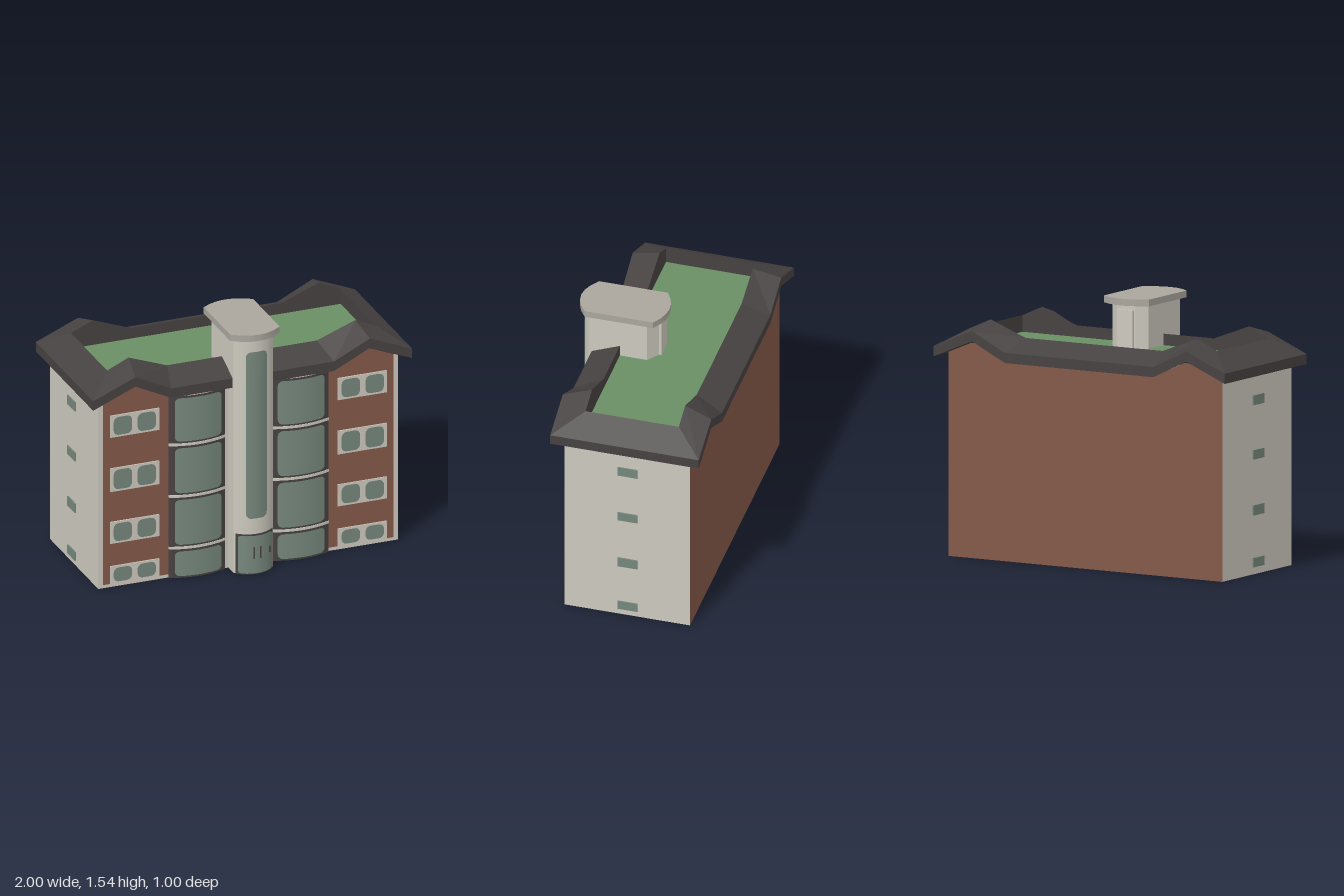
import * as THREE from 'three';
import { toCreasedNormals } from 'three/addons/utils/BufferGeometryUtils.js';

export function createModel() {
  const group = new THREE.Group();
  const mat = (name, color) => new THREE.MeshStandardMaterial({ name, color, side: THREE.DoubleSide });
  const brick = mat('brick', 0x84594a);
  const cream = mat('cream render', 0xcdc9be);
  const glass = mat('green glass', 0x76877c);
  const dark = mat('dark slate', 0x464241);
  const green = mat('roof lawn', 0x6b8f64);
  const grey = mat('grey cap', 0xaaa69e);

  const add = (name, geo, material, x = 0, y = 0, z = 0) => {
    const mesh = new THREE.Mesh(geo, material);
    mesh.name = name;
    mesh.position.set(x, y, z);
    group.add(mesh);
    return mesh;
  };
  const box = (name, material, x0, x1, y0, y1, z0, z1) =>
    add(name, new THREE.BoxGeometry(x1 - x0, y1 - y0, z1 - z0), material, (x0 + x1) / 2, (y0 + y1) / 2, (z0 + z1) / 2);

  // Upright plate that follows a curve z = f(x), with rounded corners of radius r
  function panel(name, material, x0, x1, y0, y1, f, r = 0, n = 20) {
    const geo = new THREE.PlaneGeometry(1, 1, n, 1);
    const p = geo.attributes.position;
    for (let i = 0; i < p.count; i++) {
      const t = (1 - Math.cos((p.getX(i) + 0.5) * Math.PI)) / 2;
      const x = x0 + (x1 - x0) * t;
      const d = Math.min(x - x0, x1 - x);
      const inset = d < r ? r - Math.sqrt(Math.max(0, r * r - (r - d) ** 2)) : 0;
      p.setXYZ(i, x, p.getY(i) > 0 ? y1 - inset : y0 + inset, f(x));
    }
    geo.computeVertexNormals();
    return add(name, geo, material);
  }

  // Extrude an [x, z] outline upwards
  function prism(name, material, pts, y0, y1) {
    const shape = new THREE.Shape(pts.map(([x, z]) => new THREE.Vector2(x, -z)));
    const geo = new THREE.ExtrudeGeometry(shape, { depth: y1 - y0, bevelEnabled: false });
    geo.rotateX(-Math.PI / 2);
    return add(name, toCreasedNormals(geo, 0.5), material, 0, y0, 0);
  }
  const curve = (x0, x1, f, n = 14) =>
    Array.from({ length: n + 1 }, (_, i) => {
      const x = x0 + ((x1 - x0) * i) / n;
      return [x, f(x)];
    });

  // Flat wall from an [x, y] outline
  const wall = (name, material, pts, z) =>
    add(name, new THREE.ShapeGeometry(new THREE.Shape(pts.map((p) => new THREE.Vector2(...p)))), material, 0, 0, z);

  // Back and end walls; the base stays open
  wall('backWall', brick, [[-0.94, 0], [0.94, 0], [0.94, 1.21], [0.735, 1.295], [0.51, 1.19],
    [-0.51, 1.19], [-0.735, 1.295], [-0.94, 1.21]], -0.43);
  const floors = [[0.045, 0.1], [0.35, 0.41], [0.68, 0.735], [1.0, 1.058]];
  const windowRows = [[0.02, 0.134], [0.278, 0.417], [0.61, 0.76], [0.957, 1.097]];
  const bayRows = [[0, 0.2], [0.2, 0.53], [0.53, 0.86], [0.86, 1.18]];

  for (const s of [-1, 1]) {
    const range = (a, b) => (s > 0 ? [a, b] : [-b, -a]);
    const endWall = add('endWall', new THREE.PlaneGeometry(0.76, 1.21), cream, s * 0.94, 0.605, -0.05);
    endWall.rotation.y = (s * Math.PI) / 2;
    for (const [y0, y1] of floors) box('sideWindow', glass, ...range(0.949, 0.957), y0, y1, -0.115, 0.005);

    // Brick wing with cream corner strip and plinth
    const m = (pts) => pts.map(([x, y]) => [s * x, y]);
    wall('wingFront', brick, m([[0.5, 0.02], [0.91, 0.02], [0.91, 1.22], [0.735, 1.295], [0.5, 1.19]]), 0.33);
    wall('cornerStrip', cream, m([[0.91, 0], [0.94, 0], [0.94, 1.21], [0.91, 1.22]]), 0.33);
    wall('plinth', cream, m([[0.5, 0], [0.91, 0], [0.91, 0.02], [0.5, 0.02]]), 0.33);
    for (const [y0, y1] of windowRows) {
      box('windowFrame', cream, ...range(0.56, 0.866), y0, y1, 0.33, 0.337);
      for (const [a, b] of [[0.582, 0.697], [0.732, 0.847]])
        panel('windowPane', glass, ...range(a, b), y0 + 0.013, y1 - 0.012, () => 0.34, 0.032);
    }

    // Bowed glazed bays
    wall('bayBackWall', cream, m([[0.12, 0], [0.5, 0], [0.5, 1.2], [0.12, 1.2]]), 0.33);
    const bow = (off) => (x) => 0.34 + off + 0.034 * (1 - ((Math.abs(x) - 0.325) / 0.175) ** 2);
    const outline = (off) => {
      const [a, b] = range(0.15, 0.5);
      return [[a, 0.331], ...curve(a, b, bow(off)), [b, 0.331]];
    };
    for (const [y0, y1] of bayRows) {
      prism('bayFrame', dark, outline(0), y0, y1 - 0.016);
      prism('baySlab', cream, outline(0.004), y1 - 0.016, y1);
      panel('bayGlass', glass, ...range(0.176, 0.47), y0 + 0.012, y1 - 0.03, bow(0.004), 0.03);
    }
  }

  // Stair tower: straight sides with bowed front and back
  const front = (x) => 0.31 + Math.sqrt(0.16 ** 2 - x * x);
  const back = (x) => 0.165 - Math.sqrt(0.16 ** 2 - x * x);
  const ring = [...curve(-0.125, 0.125, front), ...curve(0.125, -0.125, back, 4)];
  ring.push(ring[0]);
  const verts = [];
  for (let i = 0; i < ring.length - 1; i++) {
    const [[ax, az], [bx, bz]] = [ring[i], ring[i + 1]];
    verts.push(ax, 0, az, bx, 0, bz, bx, 1.5, bz, ax, 0, az, bx, 1.5, bz, ax, 1.5, az);
  }
  const tube = new THREE.BufferGeometry();
  tube.setAttribute('position', new THREE.Float32BufferAttribute(verts, 3));
  add('tower', toCreasedNormals(tube, 0.35), cream);
  const capFront = (x) => 0.435 + 0.065 * (1 - (x / 0.155) ** 2);
  const capBack = (x) => 0.02 - 0.055 * (1 - (x / 0.155) ** 2);
  prism('towerCap', grey, [...curve(-0.155, 0.155, capFront, 6), ...curve(0.155, -0.155, capBack, 6)], 1.5, 1.54);
  panel('towerWindow', glass, -0.065, 0.065, 0.355, 1.42, (x) => front(x) + 0.003, 0.03);
  box('roofDoor', cream, -0.055, 0.055, 1.24, 1.47, -0.003, 0.03);

  // Curved entrance door
  const doorCurve = (off) => (x) => front(x) + off;
  prism('doorFrame', dark, [[-0.115, 0.415], ...curve(-0.115, 0.115, doorCurve(0.004)), [0.115, 0.415]], 0, 0.255);
  panel('doorGlass', glass, -0.106, 0.106, 0.006, 0.246, doorCurve(0.006), 0.015);
  for (const x of [-0.02, 0.02]) box('doorHandle', dark, x - 0.004, x + 0.004, 0.1, 0.175, 0.47, 0.479);
  box('doorLock', dark, 0.075, 0.095, 0.115, 0.155, 0.44, 0.454);

  // Sloping roof ring: stations run round the eaves, each with four section points
  const xo = [-1, -0.735, -0.51, 0.51, 0.735, 1];
  const xi = [-0.845, -0.71, -0.47, 0.47, 0.71, 0.845];
  const eave = [1.18, 1.29, 1.18, 1.18, 1.29, 1.18];
  const ridge = [1.34, 1.4, 1.31, 1.31, 1.4, 1.34];
  const section = (i, zo, zi) => [[xo[i], eave[i], zo], [xo[i], eave[i] + 0.06, zo], [xi[i], ridge[i], zi], [xi[i], 1.24, zi]];
  const stations = [
    ...xo.map((_, i) => section(i, 0.4, 0.23)),
    ...xo.map((_, i) => section(5 - i, -0.5, -0.335)),
  ];
  const roofVerts = [];
  stations.forEach((a, i) => {
    const b = stations[(i + 1) % stations.length];
    for (let k = 0; k < 4; k++) {
      const l = (k + 1) % 4;
      roofVerts.push(...a[k], ...b[k], ...b[l], ...a[k], ...b[l], ...a[l]);
    }
  });
  const roofGeo = new THREE.BufferGeometry();
  roofGeo.setAttribute('position', new THREE.Float32BufferAttribute(roofVerts, 3));
  roofGeo.computeVertexNormals();
  add('roof', roofGeo, dark);
  box('roofLawn', green, -0.845, 0.845, 1.235, 1.242, -0.335, 0.23);

  return group;
}
